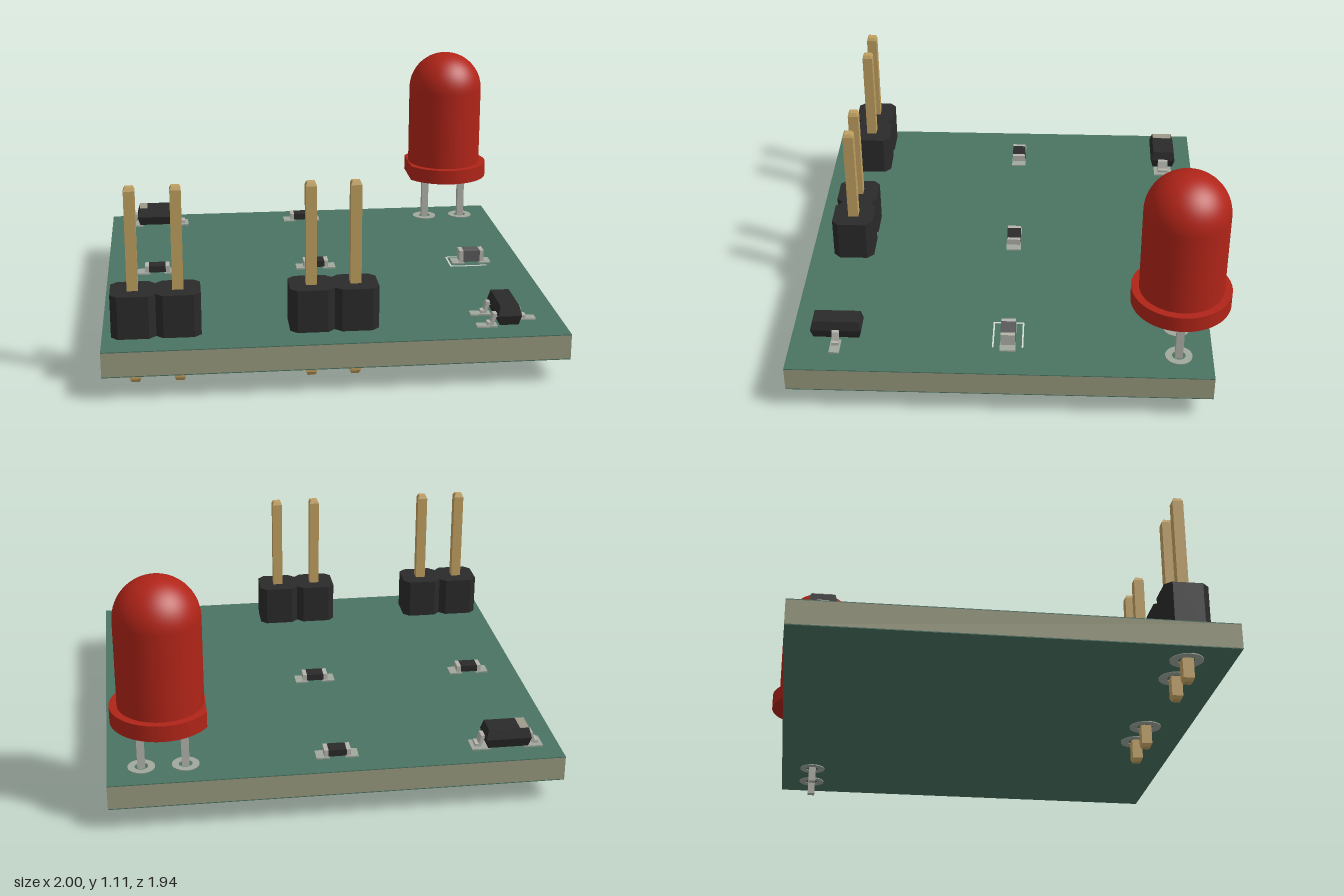
import * as THREE from 'three';

const mat = (color) => new THREE.MeshStandardMaterial({ color });
const MASK = mat(0x4a7362), CORE = mat(0x9a9b7f), RED = mat(0xb02418), GOLD = mat(0xc0a060);
const BLACK = mat(0x2a2a2a), METAL = mat(0xb4b4ac), PAD = mat(0xa0a89c), SILK = mat(0xd8dcd6);
const BAND = mat(0xa09a8c), INDUCTOR = mat(0x5a5a5a);
const TOP = 0.225, BOTTOM = 0.11;

function add(parent, name, geometry, material, x = 0, y = 0, z = 0) {
  const mesh = new THREE.Mesh(geometry, material);
  mesh.name = name;
  mesh.position.set(x, y, z);
  parent.add(mesh);
  return mesh;
}

function box(parent, name, material, w, h, d, x, y, z) {
  return add(parent, name, new THREE.BoxGeometry(w, h, d), material, x, y, z);
}

function group(parent, name, x, z) {
  const g = new THREE.Group();
  g.name = name;
  g.position.set(x, 0, z);
  parent.add(g);
  return g;
}

// Extrudes a plan outline (x, z) upwards from y = 0
function plate(shape, height) {
  const g = new THREE.ExtrudeGeometry(shape, { depth: height, bevelEnabled: false, curveSegments: 40 });
  return g.rotateX(-Math.PI / 2);
}

// Box that is widest at mid height, with drafted sides
function mouldedBody(w, h, d, inset) {
  const g = new THREE.BoxGeometry(w, h, d, 1, 2, 1).toNonIndexed();
  const p = g.attributes.position;
  for (let i = 0; i < p.count; i++) {
    if (Math.abs(p.getY(i)) < h * 0.25) continue;
    p.setX(i, p.getX(i) - Math.sign(p.getX(i)) * inset);
    p.setZ(i, p.getZ(i) - Math.sign(p.getZ(i)) * inset);
  }
  g.computeVertexNormals();
  return g;
}

// Bent lead running outwards along +x from x = start to x = tip
function bentLead(parent, start, tip, width, z, side) {
  const t = 0.014, y0 = TOP + 0.008, y1 = 0.272, mid = start + (tip - start) * 0.4;
  const s = new THREE.Shape([
    [start - 0.02, y1], [mid - t, y1], [mid, y0], [tip, y0],
    [tip, y0 + t], [mid + t * 0.7, y0 + t], [mid, y1 + t], [start - 0.02, y1 + t],
  ].map(([x, y]) => new THREE.Vector2(x, y)));
  const g = new THREE.ExtrudeGeometry(s, { depth: width, bevelEnabled: false });
  g.translate(0, 0, -width / 2);
  if (side < 0) g.rotateY(Math.PI);
  add(parent, 'bentLead', g, METAL, 0, 0, z);
}

function pad(parent, w, d, x, z) {
  box(parent, 'pad', PAD, w, 0.008, d, x, TOP + 0.003, z);
}

// Annular copper pads above and below a through hole
function holePads(parent, x, r) {
  const s = new THREE.Shape().absarc(0, 0, r, 0, Math.PI * 2);
  s.holes.push(new THREE.Path().absarc(0, 0, r * 0.5, 0, Math.PI * 2, true));
  for (const y of [TOP - 0.002, BOTTOM - 0.004]) add(parent, 'holePad', plate(s, 0.006), PAD, x, y, 0);
}

function board(parent) {
  const d = 1.875, z = 0.0325;
  box(parent, 'boardCore', CORE, 2, 0.107, d, 0, 0.1675, z);
  box(parent, 'topMask', MASK, 2, 0.004, d, 0, TOP - 0.002, z);
  box(parent, 'bottomMask', MASK, 2, 0.004, d, 0, BOTTOM + 0.002, z);
}

// Two-pin header with an octagonal cell around each pin
function header(parent, x, z) {
  const g = group(parent, 'pinHeader', x, z);
  const a = 0.096, c = 0.03, r = 0.024;
  const cell = new THREE.Shape([
    [-a + c, -a], [a - c, -a], [a, -a + c], [a, a - c], [a - c, a], [-a + c, a], [-a, a - c], [-a, -a + c],
  ].map(([u, v]) => new THREE.Vector2(u, v)));
  for (const s of [-1, 1]) {
    const px = s * a;
    add(g, 'headerCell', plate(cell, 0.19), BLACK, px, 0.235, 0);
    box(g, 'pin', GOLD, r * 2, 0.844, r * 2, px, 0.442, 0);
    for (const [y, up] of [[0.872, 1], [0.0125, -1]]) {
      const wide = r * Math.SQRT2, narrow = wide * 0.7;
      const tip = new THREE.CylinderGeometry(up > 0 ? narrow : wide, up > 0 ? wide : narrow, 0.016, 4, 1);
      tip.rotateY(Math.PI / 4);
      const m = add(g, 'pinTip', tip.toNonIndexed(), GOLD, px, y, 0);
      m.geometry.computeVertexNormals();
    }
    holePads(g, px, 0.072);
  }
}

function led(parent, x, z) {
  const g = group(parent, 'lamp', x, z);
  // Flange with one flat side
  const R = 0.22, flat = 0.19, ang = Math.acos(-flat / R);
  const rim = new THREE.Shape().absarc(0, 0, R, -ang, ang);
  rim.closePath();
  add(g, 'lampFlange', plate(rim, 0.073), RED, 0, 0.46, 0);
  // Cylindrical lens with a domed end
  const r = 0.186, yDome = 0.925;
  add(g, 'lampBody', new THREE.CylinderGeometry(r, r, yDome - 0.5, 48, 1, true), RED, 0, (yDome + 0.5) / 2, 0);
  add(g, 'lampDome', new THREE.SphereGeometry(r, 48, 16, 0, Math.PI * 2, 0, Math.PI / 2), RED, 0, yDome, 0);
  for (const s of [-1, 1]) {
    box(g, 'lampLeg', METAL, 0.034, 0.43, 0.034, s * 0.096, 0.255, 0);
    holePads(g, s * 0.096, 0.06);
  }
}

// Chip part with wrapped metal ends
function chip(parent, name, x, z, height, core) {
  const g = group(parent, name, x, z), y = TOP + 0.01;
  box(g, 'chipBody', core, 0.08, height, 0.066, 0, y + height / 2, 0);
  for (const s of [-1, 1]) {
    pad(g, 0.06, 0.07, s * 0.064, 0);
    box(g, 'chipEnd', METAL, 0.02, height, 0.064, s * 0.049, y + height / 2, 0);
  }
  return g;
}

function diode(parent, x, z) {
  const g = group(parent, 'diode', x, z);
  add(g, 'diodeBody', mouldedBody(0.205, 0.088, 0.124, 0.012), BLACK, 0, 0.281, 0);
  box(g, 'polarityBand', BAND, 0.04, 0.003, 0.094, -0.07, 0.326, 0);
  for (const s of [-1, 1]) {
    pad(g, 0.085, 0.09, s * 0.118, 0);
    bentLead(g, 0.1, 0.143, 0.05, 0, s);
  }
}

function transistor(parent, x, z) {
  const g = group(parent, 'transistor', x, z);
  add(g, 'transistorBody', mouldedBody(0.104, 0.086, 0.228, 0.011), BLACK, 0, 0.282, 0);
  for (const [s, dz] of [[-1, -0.072], [-1, 0.072], [1, 0]]) {
    pad(g, 0.09, 0.046, s * 0.093, dz);
    bentLead(g, 0.05, 0.093, 0.032, dz, s);
  }
}

export function createModel() {
  const model = new THREE.Group();
  model.name = 'circuitBoard';
  board(model);
  header(model, -0.767, 0.765);
  header(model, -0.005, 0.765);
  led(model, 0.754, -0.755);
  for (const [x, z] of [[-0.765, 0], [-0.005, 0], [-0.005, -0.755]]) chip(model, 'resistor', x, z, 0.03, BLACK);

  // Inductor with a three-sided printed outline
  const l = chip(model, 'inductor', 0.755, 0, 0.055, INDUCTOR);
  const y = TOP + 0.001;
  box(l, 'outlineEnd', SILK, 0.007, 0.004, 0.136, -0.107, y, 0);
  for (const s of [-1, 1]) box(l, 'outlineSide', SILK, 0.175, 0.004, 0.007, -0.02, y, s * 0.066);

  diode(model, -0.765, -0.755);
  transistor(model, 0.75, 0.765);
  return model;
}
